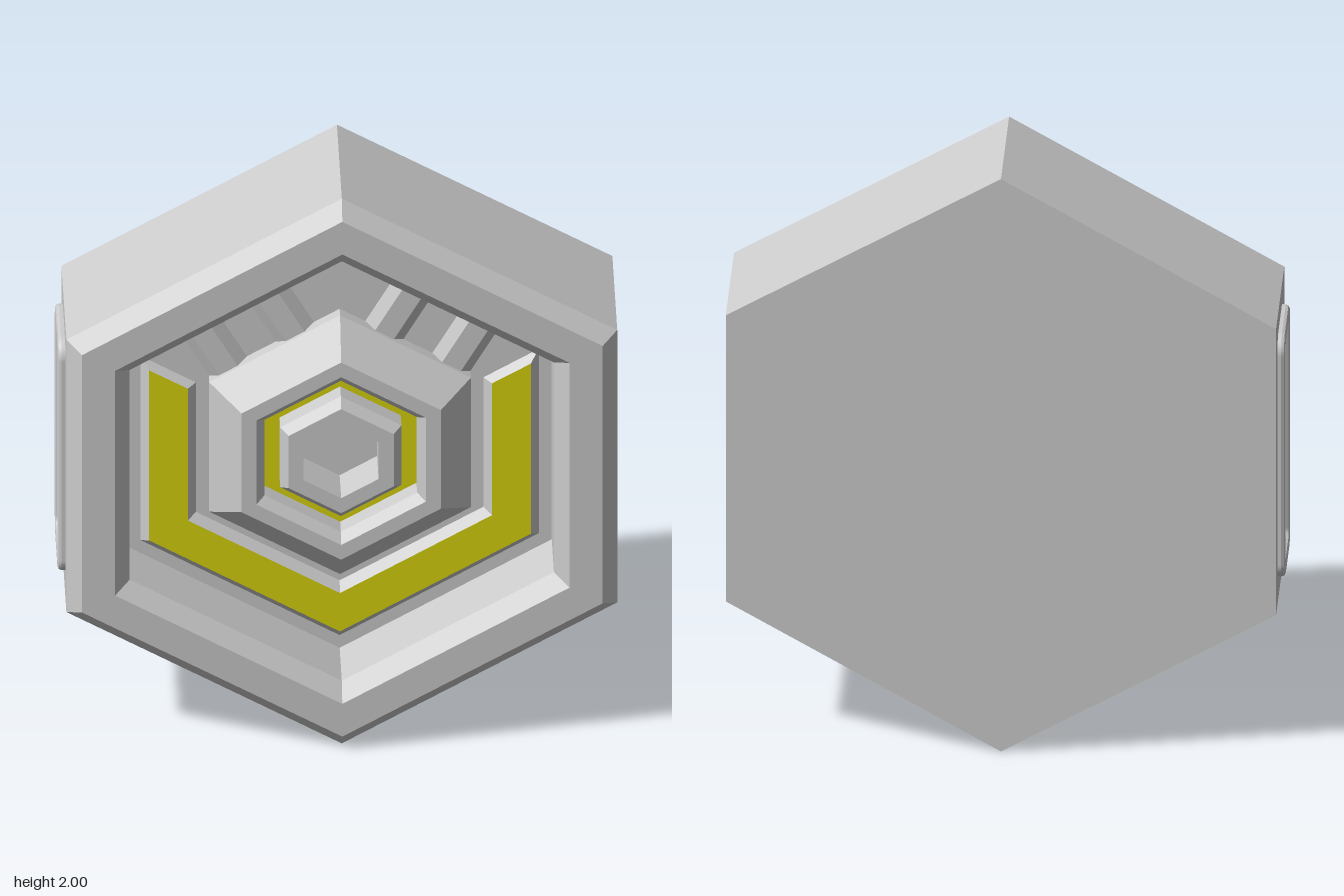
import * as THREE from 'three';

const C = Math.sqrt(3) / 2; // apothem of a unit hexagon

export function createModel() {
  const grey = new THREE.MeshStandardMaterial({ color: 0xcccccc });
  grey.name = 'grey casing';
  const yellow = new THREE.MeshStandardMaterial({ color: 0xd9d40e });
  yellow.name = 'yellow light';

  const model = new THREE.Group();
  model.name = 'hexagonalDevice';
  const hexagon = new THREE.Group();
  hexagon.name = 'hexagon';
  hexagon.position.set(0.01, 1, 0);
  model.add(hexagon);

  function add(parent, name, geometry, material) {
    const mesh = new THREE.Mesh(geometry, material);
    mesh.name = name;
    parent.add(mesh);
    return mesh;
  }

  // Six-sided profile of [corner radius, z] with flat faces
  function hexProfile(name, rings, material) {
    const points = rings.map(([r, z]) => new THREE.Vector2(r, z));
    const geometry = new THREE.LatheGeometry(points, 6).rotateX(Math.PI / 2).toNonIndexed();
    geometry.computeVertexNormals();
    return add(hexagon, name, geometry, material);
  }

  // Raised plate with sloping edges between two counterclockwise outlines
  function bevelledPlate(name, base, top, height, capMaterial) {
    const group = new THREE.Group();
    group.name = name;
    const positions = [];
    base.forEach((p, i) => {
      const j = (i + 1) % base.length;
      const a = [...p, 0], b = [...base[j], 0];
      const c = [...top[j], height], d = [...top[i], height];
      positions.push(...a, ...b, ...c, ...a, ...c, ...d);
    });
    const sides = new THREE.BufferGeometry();
    sides.setAttribute('position', new THREE.Float32BufferAttribute(positions, 3));
    sides.computeVertexNormals();
    add(group, name + 'Edge', sides, grey);
    const shape = new THREE.Shape(top.map(([x, y]) => new THREE.Vector2(x, y)));
    add(group, name + 'Face', new THREE.ShapeGeometry(shape).translate(0, 0, height), capMaterial);
    hexagon.add(group);
    return group;
  }

  // Casing with bevelled rim and sunken floor
  hexProfile('casing', [[0, -0.25], [1, -0.25], [1, 0.2], [0.945, 0.25], [0.825, 0.25],
    [0.77, 0.2], [0.77, 0], [0, 0]], grey);

  // Central boss, glowing ring and hollow core
  hexProfile('boss', [[0.475, 0], [0.475, 0.04], [0.362, 0.14], [0.308, 0.14],
    [0.277, 0.11], [0.277, 0.05]], grey);
  hexProfile('lightRing', [[0.277, 0.05], [0.22, 0.05]], yellow);
  hexProfile('core', [[0.22, 0.05], [0.22, 0.11], [0.191, 0.14], [0.136, 0.14], [0.136, 0]], grey);

  // U-shaped light strip following the lower hexagon edges
  function uOutline(outer, inner, endOuter, endInner) {
    const half = [[outer * C, -outer / 2], [outer * C, endOuter],
      [inner * C, endInner], [inner * C, -inner / 2]];
    const mirrored = half.map(([x, y]) => [-x, y]).reverse();
    return [[0, -outer], ...half, [0, -inner], ...mirrored];
  }
  bevelledPlate('lightStrip', uOutline(0.723, 0.522, 0.315, 0.214),
    uOutline(0.693, 0.552, 0.278, 0.208), 0.028, yellow);

  // Two raised ribs on each upper side
  const rectangle = (x0, x1, y0, y1) => [[x0, y0], [x1, y0], [x1, y1], [x0, y1]];
  for (const side of [-1, 1]) {
    for (const offset of [-0.075, 0.168]) {
      const s = side * offset;
      const rib = bevelledPlate('rib', rectangle(s - 0.069, s + 0.069, 0.4, 0.667),
        rectangle(s - 0.034, s + 0.034, 0.4, 0.667), 0.028, grey);
      rib.rotation.z = -side * Math.PI / 6;
    }
  }

  // Rounded frame on the right side
  function roundedRect(path, w, h, r) {
    path.absarc(w / 2 - r, h / 2 - r, r, 0, Math.PI / 2);
    path.absarc(-w / 2 + r, h / 2 - r, r, Math.PI / 2, Math.PI);
    path.absarc(-w / 2 + r, -h / 2 + r, r, Math.PI, Math.PI * 1.5);
    path.absarc(w / 2 - r, -h / 2 + r, r, Math.PI * 1.5, Math.PI * 2);
    path.closePath();
    return path;
  }
  const frameShape = roundedRect(new THREE.Shape(), 0.3, 0.85, 0.06);
  frameShape.holes.push(roundedRect(new THREE.Path(), 0.22, 0.77, 0.025));
  const frame = new THREE.ExtrudeGeometry(frameShape, {
    depth: 0.016, bevelThickness: 0.012, bevelSize: 0.012, bevelOffset: -0.012,
    bevelSegments: 2, curveSegments: 6,
  }).rotateY(-Math.PI / 2);
  add(model, 'sideFrame', frame, grey).position.set(-0.852, 1.005, -0.03);

  return model;
}
